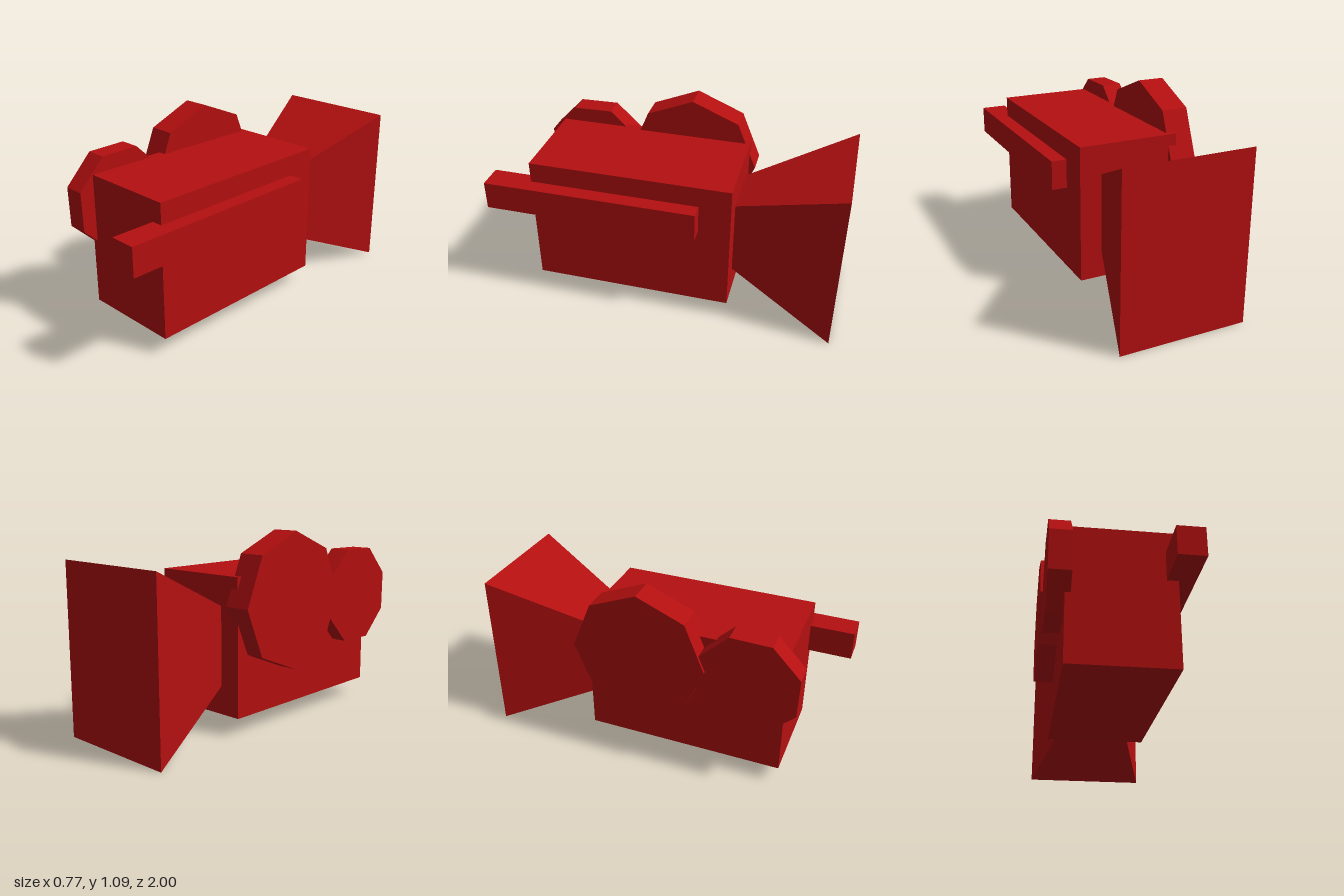
import * as THREE from 'three';

export function createModel() {
  const model = new THREE.Group();
  const red = new THREE.MeshStandardMaterial({ color: 0xb40f10 });
  red.name = 'red';
  red.flatShading = true;

  function add(name, geometry) {
    const mesh = new THREE.Mesh(geometry, red);
    mesh.name = name;
    model.add(mesh);
  }

  // Box given by its lower and upper limits on each axis
  function box([x0, x1], [y0, y1], [z0, z1]) {
    return new THREE.BoxGeometry(x1 - x0, y1 - y0, z1 - z0)
      .translate((x0 + x1) / 2, (y0 + y1) / 2, (z0 + z1) / 2);
  }

  // Eight-sided disc with its axis along x; phase turns its corners
  function reel(radius, [x0, x1], y, z, phase) {
    return new THREE.CylinderGeometry(radius, radius, x1 - x0, 8, 1, false, phase)
      .rotateZ(Math.PI / 2)
      .translate((x0 + x1) / 2, y, z);
  }

  add('cameraBody', box([-0.279, 0.296], [0.098, 0.864], [-0.397, 0.752]));
  add('sideRail', box([0.234, 0.382], [0.582, 0.745], [-0.218, 1]));

  // Film reels on the right side
  add('largeReel', reel(0.382, [-0.384, -0.232], 0.709, -0.052, 0));
  add('smallReel', reel(0.297, [-0.369, -0.249], 0.676, 0.561, THREE.MathUtils.degToRad(21.3)));

  // Lens hood: a box narrowed where it meets the body
  const hood = box([-0.35, 0.367], [0, 0.957], [-1, -0.397]);
  const p = hood.attributes.position;
  for (let i = 0; i < p.count; i++) {
    if (p.getZ(i) > -0.7) {
      p.setX(i, 0.008 + (p.getX(i) - 0.008) * 0.46);
      p.setY(i, 0.48 + (p.getY(i) - 0.48) * 0.46);
    }
  }
  hood.computeVertexNormals();
  add('lensHood', hood);

  return model;
}
